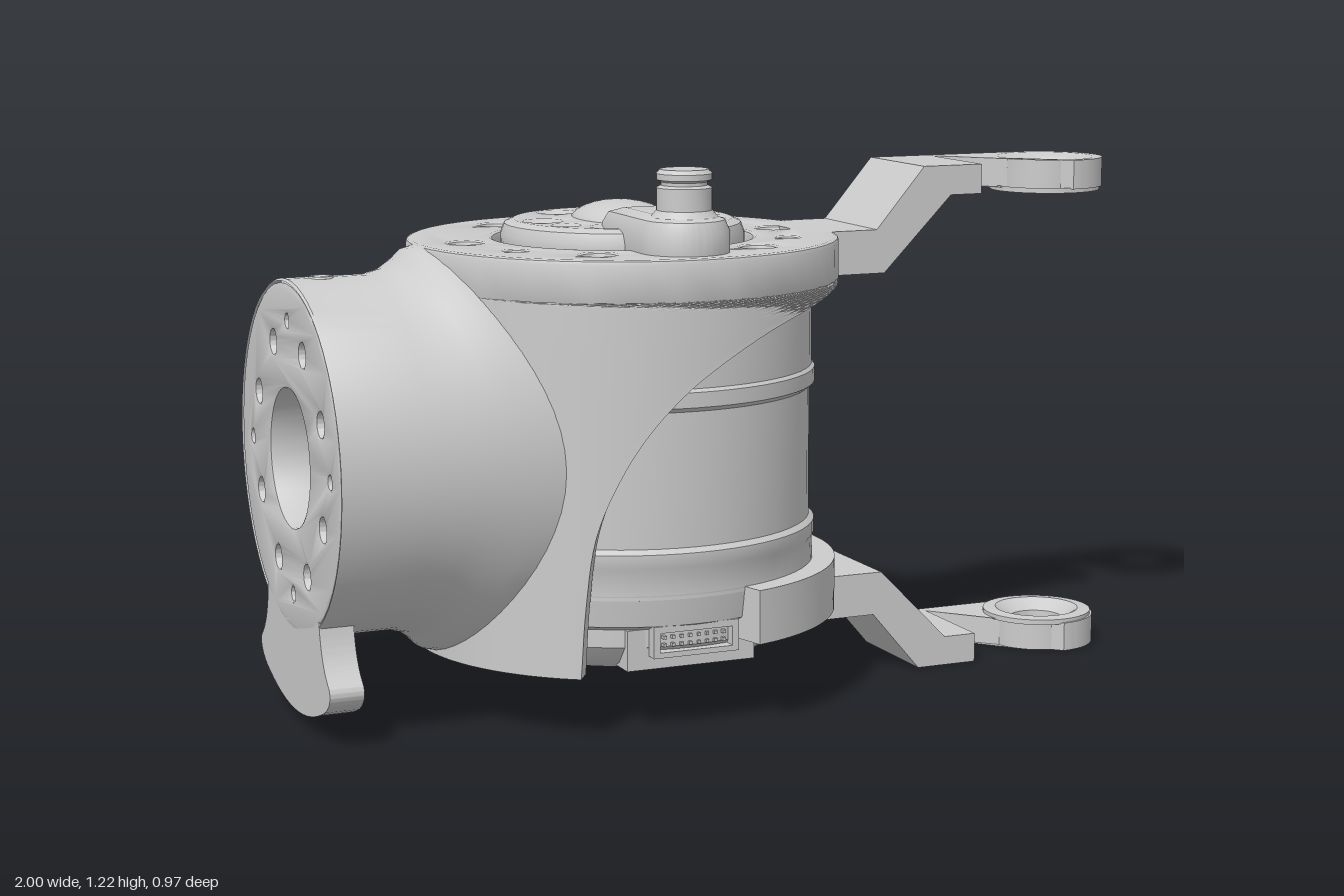
import * as THREE from 'three';
import { toCreasedNormals } from 'three/addons/utils/BufferGeometryUtils.js';

const MX = -0.22; // motor axis
const MID = 0.59; // height of the tube axis
const mat = new THREE.MeshStandardMaterial({ color: 0xcccccc, side: THREE.DoubleSide });
const V = (x, y) => new THREE.Vector2(x, y);

function add(parent, name, geo, x = 0, y = 0, z = 0, crease = 0.6) {
  const mesh = new THREE.Mesh(toCreasedNormals(geo, crease), mat);
  mesh.name = name;
  mesh.position.set(x, y, z);
  parent.add(mesh);
  return mesh;
}
const lathe = (pts, seg = 64) => new THREE.LatheGeometry(pts.map(p => V(...p)), seg);

// Closed loops of points joined in order
function loft(loops) {
  const n = loops[0].length, idx = [];
  for (let j = 0; j < loops.length - 1; j++) {
    for (let i = 0; i < n; i++) {
      const a = j * n + i, b = j * n + (i + 1) % n;
      idx.push(a, a + n, b, a + n, b + n, b);
    }
  }
  const g = new THREE.BufferGeometry();
  g.setAttribute('position', new THREE.Float32BufferAttribute(loops.flat(2), 3));
  g.setIndex(idx);
  g.computeVertexNormals();
  return g;
}

function circle(r, x = 0, y = 0, T = THREE.Shape) {
  const s = new T();
  s.absarc(x, y, r, 0, Math.PI * 2, false);
  return s;
}
// Holes listed as [radius from centre, angle in degrees, hole radius]
function disc(r, holes) {
  const s = circle(r);
  for (const [d, deg, hr] of holes) {
    const a = THREE.MathUtils.degToRad(deg);
    s.holes.push(circle(hr, d * Math.cos(a), d * Math.sin(a), THREE.Path));
  }
  return s;
}
function extrude(shape, depth, bevel = 0, thick = bevel) {
  return new THREE.ExtrudeGeometry(shape, {
    depth, curveSegments: 24, bevelEnabled: bevel > 0, bevelSize: bevel, bevelThickness: thick, bevelSegments: 2,
  });
}
const upright = g => g.rotateX(-Math.PI / 2); // extrude along +y
const alongX = g => g.rotateY(Math.PI / 2); // extrude along +x
const every = (step, start, d, r) =>
  Array.from({ length: Math.round(360 / step) }, (_, i) => [d, start + i * step, r]);

// Motor: can with raised bands, stepped base, connector and screws
function motor() {
  const g = new THREE.Group();
  g.name = 'motor';
  g.position.x = MX;
  add(g, 'motorCan', lathe([[0, 1], [0.4, 1], [0.41, 0.93], [0.425, 0.91], [0.425, 0.755], [0.432, 0.748],
    [0.432, 0.715], [0.42, 0.705], [0.42, 0.41], [0.432, 0.4], [0.432, 0.37], [0.427, 0.36], [0.43, 0.3], [0.41, 0.295]]));
  add(g, 'motorBase', lathe([[0.43, 0.31], [0.42, 0.24], [0.4, 0.23], [0.4, 0.19], [0.37, 0.15], [0.34, 0.133], [0, 0.133]]));
  add(g, 'connectorBlock', new THREE.BoxGeometry(0.3, 0.09, 0.12), 0.0, 0.185, 0.325);
  const frame = new THREE.Shape([V(-0.1, 0), V(0.1, 0), V(0.1, 0.07), V(-0.1, 0.07)]);
  frame.holes.push(new THREE.Path([V(-0.085, 0.012), V(-0.085, 0.055), V(0.085, 0.055), V(0.085, 0.012)]));
  add(g, 'connectorFrame', extrude(frame, 0.03), 0, 0.17, 0.385);
  for (let i = 0; i < 16; i++) {
    add(g, 'connectorPin', new THREE.BoxGeometry(0.007, 0.007, 0.025), -0.07 + (i % 8) * 0.02, i < 8 ? 0.195 : 0.212, 0.393);
  }
  for (const deg of [40, 160, 280]) {
    const a = THREE.MathUtils.degToRad(deg);
    add(g, 'baseScrew', new THREE.TorusGeometry(0.022, 0.007, 6, 20).rotateX(Math.PI / 2),
      0.29 * Math.cos(a), 0.134, 0.29 * Math.sin(a));
  }
  return g;
}

// Bracket: shell swept away towards the arm, top plate, side tube and foot
function bracket() {
  const g = new THREE.Group();
  g.name = 'bracket';
  const edge = new THREE.CatmullRomCurve3([[0.14, -0.485], [0.3, -0.475], [0.45, -0.455], [0.57, -0.41], [0.67, -0.35],
    [0.76, -0.265], [0.83, -0.16], [0.88, -0.05], [0.92, 0.1], [0.94, 0.2], [0.95, 0.265]]
    .map(([y, x]) => new THREE.Vector3(x, y, 0)));
  const shellLoop = (p, outer, inner) => {
    const phi = Math.acos(Math.min(1, (p.x - MX) / 0.485)), N = 64, loop = [];
    const point = (i, r) => {
      const a = phi + (2 * Math.PI - 2 * phi) * i / N;
      loop.push([MX + r * Math.cos(a), p.y, r * Math.sin(a)]);
    };
    for (let i = 0; i <= N; i++) point(i, outer);
    for (let i = N; i >= 0; i--) point(i, inner);
    return loop;
  };
  const rows = edge.getPoints(50);
  add(g, 'shell', loft([shellLoop(rows[0], 0.46, 0.46), ...rows.map(p => shellLoop(p, 0.485, 0.437))]));

  const plate = disc(0.475, [[0, 0, 0.3], ...every(60, 0, 0.372, 0.045),
    ...[30, -30, 80, 210].map(a => [0.372, a, 0.03])]);
  add(g, 'topPlate', upright(extrude(plate, 0.08, 0.01)), MX, 0.95, 0);

  // Side tube, flaring up and down into the shell
  const tubeLoops = [[-1, 0.385], [-0.995, 0.39], [-0.81, 0.39], [-0.77, 0.4], [-0.74, 0.42], [-0.715, 0.443], [-0.69, 0.45], [-0.66, 0.45]]
    .map(([x, ry], k) => Array.from({ length: 64 }, (_, i) => {
      const a = i / 64 * Math.PI * 2, z = -0.39 * Math.sin(a);
      const end = MX - Math.sqrt(0.45 ** 2 - z * z);
      const t = Math.max(0, (x + 0.81) / 0.15);
      return [k < 3 ? x : -0.81 + t * (end + 0.81), MID + ry * Math.cos(a), z];
    }));
  add(g, 'sideTube', loft(tubeLoops));
  const face = disc(0.375, [[0, 0, 0.16], ...every(90, 25, 0.265, 0.034), ...every(90, 65, 0.265, 0.034),
    [0.3, 90, 0.022], [0.3, 0, 0.022], [0.3, 180, 0.022], [0.3, 270, 0.022]]);
  add(g, 'tubeEndPlate', alongX(extrude(face, 0.18, 0.008)), -0.992, MID, 0);
  add(g, 'tubeTopHole', new THREE.TorusGeometry(0.022, 0.005, 6, 24).rotateX(Math.PI / 2), -0.92, 0.979, 0);

  // Foot with concave flanks
  const foot = new THREE.Shape();
  foot.moveTo(-0.2, 0.27);
  foot.quadraticCurveTo(-0.21, 0.18, -0.265, 0.14);
  foot.quadraticCurveTo(-0.285, 0.11, -0.23, 0.08);
  foot.quadraticCurveTo(0, -0.02, 0.23, 0.08);
  foot.quadraticCurveTo(0.285, 0.11, 0.265, 0.14);
  foot.quadraticCurveTo(0.21, 0.18, 0.2, 0.27);
  add(g, 'foot', alongX(extrude(foot, 0.076)), -1, 0, 0);
  return g;
}

// Cranked arm ending in a countersunk eye; drawn for the top
function arm() {
  const g = new THREE.Group();
  const crank = new THREE.Shape([[0.18, 0.94], [0.37, 0.94], [0.54, 1.112], [0.62, 1.112], [0.62, 1.18], [0.47, 1.18], [0.35, 1.04], [0.18, 1.04]]
    .map(p => V(...p)));
  add(g, 'armCrank', extrude(crank, 0.27), 0, 0, -0.135, 0.4);
  const tip = new THREE.Shape();
  tip.moveTo(0.6, -0.135);
  tip.absarc(0.865, 0, 0.135, -Math.PI / 2, Math.PI / 2, false);
  tip.lineTo(0.6, 0.135);
  tip.holes.push(circle(0.115, 0.865, 0, THREE.Path));
  add(g, 'armTip', upright(extrude(tip, 0.068)), 0, 1.112, 0);
  add(g, 'armEye', lathe([[0.13, 1.115], [0.13, 1.103], [0.1, 1.1], [0.062, 1.125], [0.06, 1.16], [0.075, 1.172], [0.115, 1.18]], 48), 0.865, 0, 0, 0.4);
  return g;
}

// Output rotor on top with its lever and post
function rotor() {
  const g = new THREE.Group();
  g.name = 'rotor';
  g.position.x = MX;
  const plate = disc(0.245, [...every(60, 0, 0.19, 0.046), ...[90, 210, 330].map(a => [0.2, a, 0.034])]);
  add(g, 'rotorPlate', upright(extrude(plate, 0.03, 0.028, 0.03)), 0, 1.02, 0);
  add(g, 'rotorHub', new THREE.SphereGeometry(1, 32, 16).scale(0.11, 0.055, 0.17), 0, 1.065, 0);
  const lever = new THREE.Shape();
  lever.moveTo(0.06, -0.16);
  lever.lineTo(0.06, -0.35);
  lever.absarc(0, -0.35, 0.06, 0, Math.PI, true);
  lever.lineTo(-0.06, -0.16);
  add(g, 'lever', upright(extrude(lever, 0.07, 0.038, 0.035)), 0, 1.015, 0);
  add(g, 'post', lathe([[0.085, 1.1], [0.06, 1.13], [0.06, 1.178], [0.05, 1.183], [0.05, 1.19], [0.06, 1.195],
    [0.06, 1.208], [0.052, 1.217], [0, 1.217]], 32), 0, 0, 0.35);
  return g;
}

export function createModel() {
  const model = new THREE.Group();
  model.name = 'motorJoint';
  model.add(motor(), bracket(), rotor());

  const upper = arm();
  upper.name = 'upperArm';
  const lower = arm();
  lower.name = 'lowerArm';
  lower.scale.y = -1;
  lower.position.y = 2 * MID;
  model.add(upper, lower);

  // Half ring holding the lower arm to the motor base
  const half = new THREE.Shape();
  half.absarc(0, 0, 0.48, -1.3, 1.3, false);
  half.absarc(0, 0, 0.4, 1.3, -1.3, true);
  add(model, 'lowerArmRing', upright(extrude(half, 0.12)), MX, 0.19, 0);
  return model;
}
